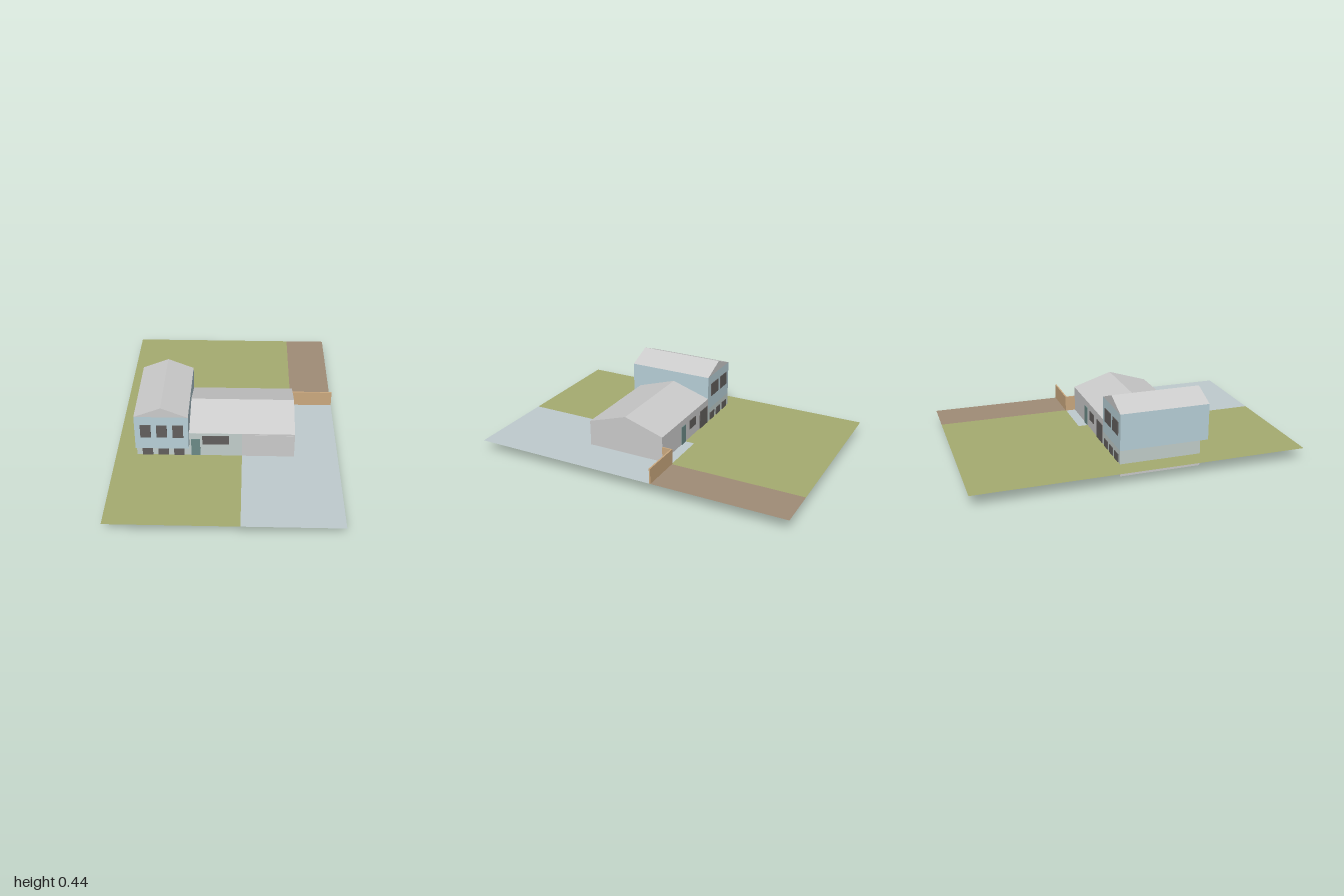
import * as THREE from 'three';

const GROUND = 0.076;
const mat = (color) => new THREE.MeshStandardMaterial({ color, flatShading: true, side: THREE.DoubleSide });
const grey = mat(0xcccccc);
const cladding = mat(0xc2cecb);
const blue = mat(0xb8d0d8);
const glass = mat(0x625f5d);
const teal = mat(0x6b8a87);
const wood = mat(0xcba97f);

export function createModel() {
  const model = new THREE.Group();

  const add = (name, geometry, material) => {
    const mesh = new THREE.Mesh(geometry, material);
    mesh.name = name;
    model.add(mesh);
    return mesh;
  };

  // Box given by its lower and upper limits on each axis
  const box = (name, [x0, x1], [y0, y1], [z0, z1], material) =>
    add(name, new THREE.BoxGeometry(x1 - x0, y1 - y0, z1 - z0), material)
      .position.set((x0 + x1) / 2, (y0 + y1) / 2, (z0 + z1) / 2);

  // Flat ground patch from [x, z] corners
  const patch = (name, corners, material) => {
    const shape = new THREE.Shape(corners.map(([x, z]) => new THREE.Vector2(x, -z)));
    const geometry = new THREE.ShapeGeometry(shape).rotateX(-Math.PI / 2);
    add(name, geometry.translate(0, GROUND, 0), material);
  };

  // Solid extruded along z from an outline in x and y
  const prism = (outline, depth) => new THREE.ExtrudeGeometry(
    new THREE.Shape(outline.map(([x, y]) => new THREE.Vector2(x, y))),
    { depth, bevelEnabled: false });

  // Plot: lawn, driveway and bare earth around the house footprint
  patch('lawn', [[-0.66, -1], [0.4, -1], [0.4, -0.175], [0.1, -0.175], [0.1, -0.115], [-0.535, -0.115],
    [-0.535, 0.38], [0.09, 0.38], [0.09, 1], [-0.66, 1]], mat(0xa5ab70));
  patch('driveway', [[0.1, -0.175], [0.66, -0.175], [0.66, 1], [0.09, 1], [0.09, 0.38],
    [0.4, 0.38], [0.4, -0.115], [0.1, -0.115]], mat(0xbfcbce));
  patch('earthBed', [[0.4, -1], [0.66, -1], [0.66, -0.175], [0.4, -0.175]], mat(0xa08c76));

  // Two-storey block with a sunken basement and an overhanging upper floor
  const towerX = [-0.535, -0.222];
  box('basement', towerX, [0, GROUND], [-0.115, 0.38], grey);
  box('lowerFloor', towerX, [GROUND, 0.158], [-0.115, 0.38], cladding);
  box('upperFloor', towerX, [0.158, 0.38], [-0.115, 0.43], blue);
  add('upperRoof', prism([[-0.535, 0.38], [-0.222, 0.38], [-0.378, 0.442]], 0.545), grey)
    .position.z = -0.115;

  // Single-storey wing: wall and roof profile swept along x
  const wing = add('wing', prism([[-0.38, GROUND], [0.115, GROUND], [0.115, 0.235],
    [-0.1325, 0.314], [-0.38, 0.235]], 0.622), grey);
  wing.rotation.y = Math.PI / 2;
  wing.position.x = -0.222;
  box('wingFrontCladding', [-0.222, 0.09], [GROUND, 0.235], [0.379, 0.381], cladding);
  box('garageDoor', [0.1, 0.39], [GROUND, 0.225], [0.379, 0.382], grey);

  // Openings are thin panels standing slightly proud of the walls
  const panel = (name, xs, ys, z, material = glass) => box(name, xs, ys, [z - 0.003, z + 0.003], material);
  for (const x of [-0.471, -0.377, -0.283]) {
    const xs = [x - 0.031, x + 0.031];
    panel('upperFrontWindow', xs, [0.239, 0.324], 0.431);
    panel('lowerFrontWindow', xs, [GROUND, 0.126], 0.381);
    panel('lowerBackWindow', xs, [GROUND, 0.126], -0.116);
  }
  for (const xs of [[-0.5, -0.405], [-0.37, -0.265]]) panel('upperBackWindow', xs, [0.239, 0.324], -0.116);
  panel('frontDoor', [-0.211, -0.158], [GROUND, 0.193], 0.381, teal);
  panel('wingFrontWindow', [-0.145, 0.012], [0.158, 0.218], 0.381);
  panel('patioDoor', [-0.21, -0.102], [GROUND, 0.193], -0.116);
  panel('wingBackWindow', [-0.038, 0.044], [0.135, 0.193], -0.116);
  panel('backDoor', [0.1, 0.153], [GROUND, 0.193], -0.116, teal);

  // Fence with a short return to the wing corner
  box('fence', [0.393, 0.66], [GROUND, 0.172], [-0.178, -0.169], wood);
  box('fenceReturn', [0.393, 0.401], [GROUND, 0.172], [-0.169, -0.115], wood);

  return model;
}
